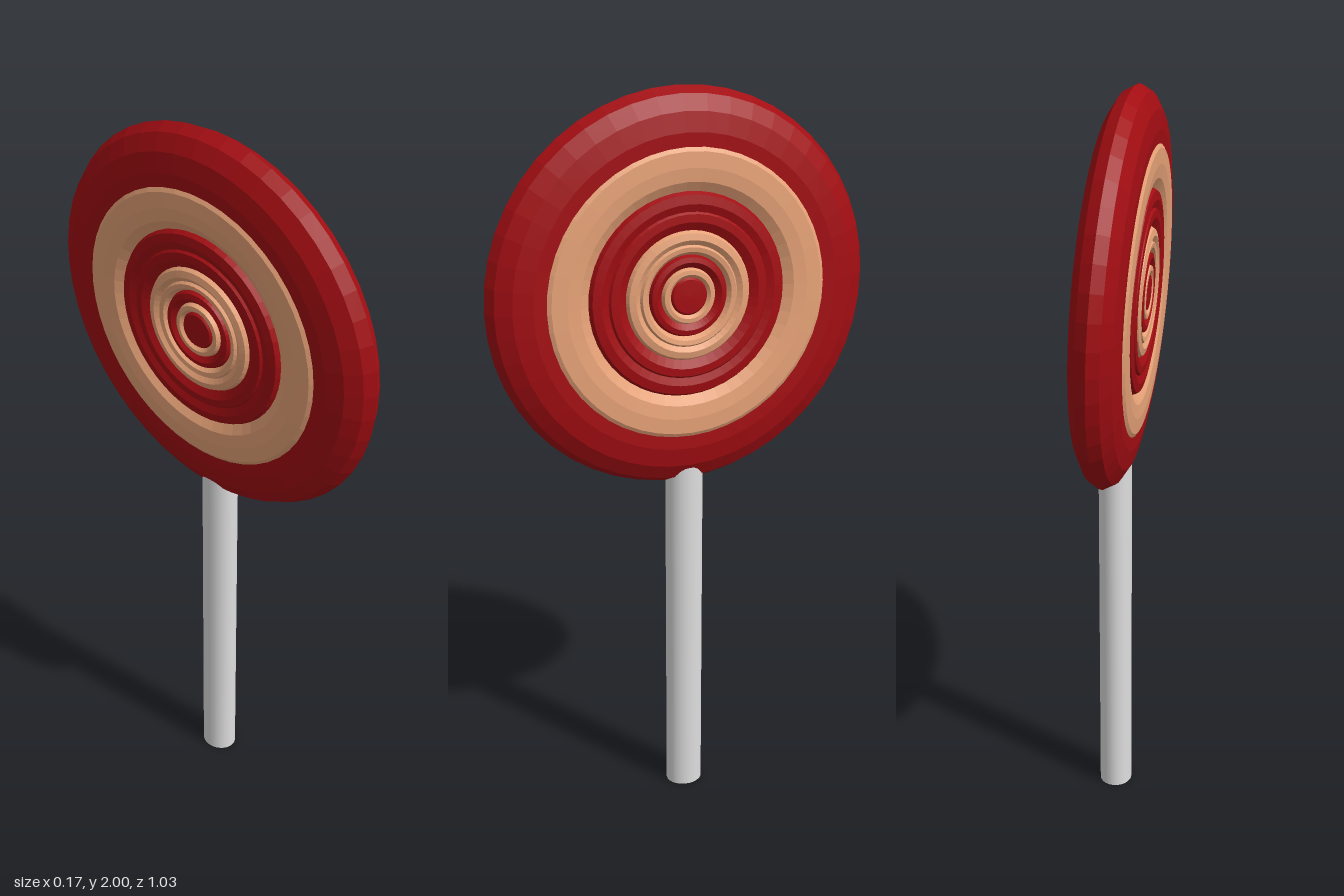
import * as THREE from 'three';

export function createModel() {
  const mat = (name, color, flat) => {
    const m = new THREE.MeshStandardMaterial({ color, flatShading: flat });
    m.name = name;
    return m;
  };
  const red = mat('candy red', 0xa20d12, true);
  const cream = mat('candy cream', 0xe9a479, true);
  const white = mat('stick white', 0xdedede, false);

  const model = new THREE.Group();
  model.name = 'lollipop';

  // Candy disc: concentric ridged rings, each given as [radius, half thickness] from outside in
  const candy = new THREE.Group();
  candy.name = 'candy';
  candy.position.y = 1.481;
  candy.rotation.z = -Math.PI / 2 + 0.05;
  model.add(candy);

  const rings = [
    ['outerRing', red, [[0.517, 0], [0.5, 0.03], [0.46, 0.053], [0.41, 0.062], [0.375, 0.061]]],
    ['wideCreamRing', cream, [[0.375, 0.061], [0.365, 0.067], [0.325, 0.069], [0.29, 0.065], [0.265, 0.05]]],
    ['middleRedRing', red, [[0.265, 0.05], [0.258, 0.062], [0.235, 0.066], [0.215, 0.059],
      [0.21, 0.065], [0.19, 0.066], [0.168, 0.054]]],
    ['innerCreamRing', cream, [[0.168, 0.054], [0.162, 0.064], [0.145, 0.068], [0.132, 0.059],
      [0.127, 0.066], [0.115, 0.064], [0.106, 0.052]]],
    ['innerRedRing', red, [[0.106, 0.052], [0.101, 0.063], [0.088, 0.066], [0.073, 0.054]]],
    ['smallCreamRing', cream, [[0.073, 0.054], [0.068, 0.065], [0.057, 0.066], [0.049, 0.058]]],
    ['centreDot', red, [[0.049, 0.058], [0.044, 0.064], [0, 0.066]]],
  ];
  for (const [name, material, profile] of rings) {
    const front = profile.map(([r, h]) => new THREE.Vector2(r, h));
    const back = profile.map(([r, h]) => new THREE.Vector2(r, -h)).reverse();
    for (const [side, points] of [['Left', front], ['Right', back]]) {
      const mesh = new THREE.Mesh(new THREE.LatheGeometry(points, 48), material);
      mesh.name = name + side;
      candy.add(mesh);
    }
  }

  // Stick, slightly oval and set into the rim
  const stick = new THREE.Mesh(new THREE.CylinderGeometry(0.045, 0.045, 1.02, 24), white);
  stick.name = 'stick';
  stick.scale.z = 1.13;
  stick.position.set(0.025, 0.51, 0);
  model.add(stick);

  return model;
}
